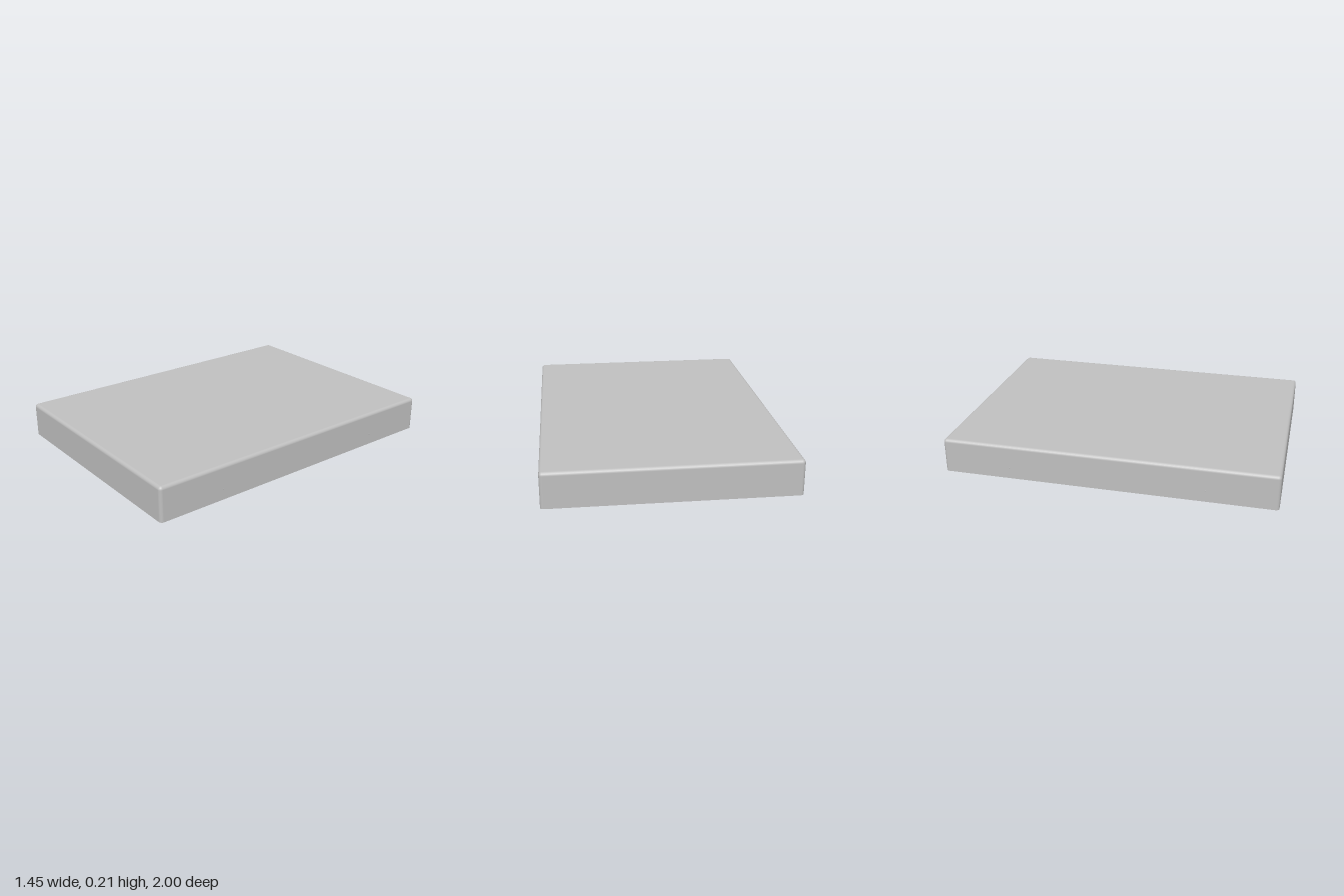
import * as THREE from 'three';

const W = 0.725, D = 1, H = 0.21;      // half width, half depth, height
const R = 0.02, WALL = 0.018;          // edge radius, wall thickness
const FLOOR = 0.145, CEIL = 0.193;     // underside of the slab, top of the cells
const FIELD_X = 0.57, FIELD_Z = 0.82;  // half size of the honeycomb field
const PITCH = 0.157, CELL_R = 0.072;   // cell spacing and corner radius

function roundedRect(w, d, r) {
  const s = new THREE.Shape();
  s.absarc(w - r, d - r, r, 0, Math.PI / 2);
  s.absarc(-w + r, d - r, r, Math.PI / 2, Math.PI);
  s.absarc(-w + r, -d + r, r, Math.PI, Math.PI * 1.5);
  s.absarc(w - r, -d + r, r, Math.PI * 1.5, Math.PI * 2);
  s.closePath();
  return s;
}

// Stand an extruded outline up between two heights
function prism(shape, y0, y1) {
  const g = new THREE.ExtrudeGeometry(shape, { depth: y1 - y0, bevelEnabled: false, curveSegments: 5 });
  return g.rotateX(-Math.PI / 2).translate(0, y0, 0);
}

// Outer skin: rounded rectangular loops from the rim up over the top fillet
function skinGeometry() {
  const pos = [], nor = [], idx = [], seg = 5, steps = 5, n = 4 * (seg + 1);
  const signs = [[1, 1], [-1, 1], [-1, -1], [1, -1]];
  const loop = (y, phi) => {
    signs.forEach(([sx, sz], c) => {
      for (let i = 0; i <= seg; i++) {
        const t = (c + i / seg) * Math.PI / 2;
        const nx = Math.cos(t) * Math.cos(phi), nz = Math.sin(t) * Math.cos(phi);
        pos.push(sx * (W - R) + R * nx, y, sz * (D - R) + R * nz);
        nor.push(nx, Math.sin(phi), nz);
      }
    });
  };
  loop(0, 0);
  for (let k = 0; k <= steps; k++) {
    const phi = k / steps * Math.PI / 2;
    loop(H - R + R * Math.sin(phi), phi);
  }
  for (let k = 0; k <= steps; k++) {
    for (let i = 0; i < n; i++) {
      const a = k * n + i, b = k * n + (i + 1) % n;
      idx.push(a, a + n, b, b, a + n, b + n);
    }
  }
  // flat top
  const top = (steps + 1) * n;
  for (let i = 1; i < n - 1; i++) idx.push(top, top + i + 1, top + i);
  const g = new THREE.BufferGeometry();
  g.setAttribute('position', new THREE.Float32BufferAttribute(pos, 3));
  g.setAttribute('normal', new THREE.Float32BufferAttribute(nor, 3));
  g.setIndex(idx);
  return g;
}

// Trim a convex outline to one side of a line: sign * p[axis] <= limit
function trim(points, axis, sign, limit) {
  const out = [];
  points.forEach((p, i) => {
    const q = points[(i + 1) % points.length];
    const dp = limit - sign * p[axis], dq = limit - sign * q[axis];
    if (dp >= 0) out.push(p);
    if (dp * dq < 0) out.push(p.clone().lerp(q, dp / (dp - dq)));
  });
  return out;
}

// Hexagonal cells in staggered rows, trimmed at the edge of the field
function honeycombHoles() {
  const holes = [], rowStep = PITCH * Math.sqrt(3) / 2;
  for (let r = -7; r <= 7; r++) {
    for (let c = -5; c <= 5; c++) {
      const cx = (c + (r % 2 ? 0.5 : 0)) * PITCH, cz = r * rowStep;
      let pts = [];
      for (let i = 0; i < 6; i++) {
        const a = Math.PI / 6 + i * Math.PI / 3;
        pts.push(new THREE.Vector2(cx + CELL_R * Math.cos(a), cz + CELL_R * Math.sin(a)));
      }
      for (const s of [1, -1]) {
        pts = trim(pts, 'x', s, FIELD_X);
        pts = trim(pts, 'y', s, FIELD_Z);
      }
      if (pts.length > 2 && Math.abs(THREE.ShapeUtils.area(pts)) > 0.0005) holes.push(new THREE.Path(pts));
    }
  }
  return holes;
}

export function createModel() {
  const model = new THREE.Group();
  model.name = 'lid';
  const grey = new THREE.MeshStandardMaterial({ color: 0xbfbfbf });
  grey.name = 'light grey';
  const add = (name, geometry) => {
    const mesh = new THREE.Mesh(geometry, grey);
    mesh.name = name;
    model.add(mesh);
    return mesh;
  };

  add('outerShell', skinGeometry());

  // Inside of the skirt and its bottom rim
  const wall = roundedRect(W - 0.0005, D - 0.0005, R);
  wall.holes.push(roundedRect(W - WALL, D - WALL, 0.004));
  add('skirtWall', prism(wall, 0, H - R));

  // Thick underside with honeycomb pockets
  const slab = roundedRect(W - WALL / 2, D - WALL / 2, 0.01);
  slab.holes.push(...honeycombHoles());
  add('honeycombSlab', prism(slab, FLOOR, CEIL));
  add('pocketCeiling', new THREE.BoxGeometry(2 * FIELD_X + 0.1, 0.01, 2 * FIELD_Z + 0.1).translate(0, CEIL + 0.005, 0));

  // Snap bumps on the long inner walls
  for (const sx of [1, -1]) {
    for (const sz of [1, -1]) {
      add('snapBump', new THREE.SphereGeometry(0.019, 16, 12)).position.set(sx * (W - WALL), 0.068, sz * 0.585);
    }
  }
  return model;
}
